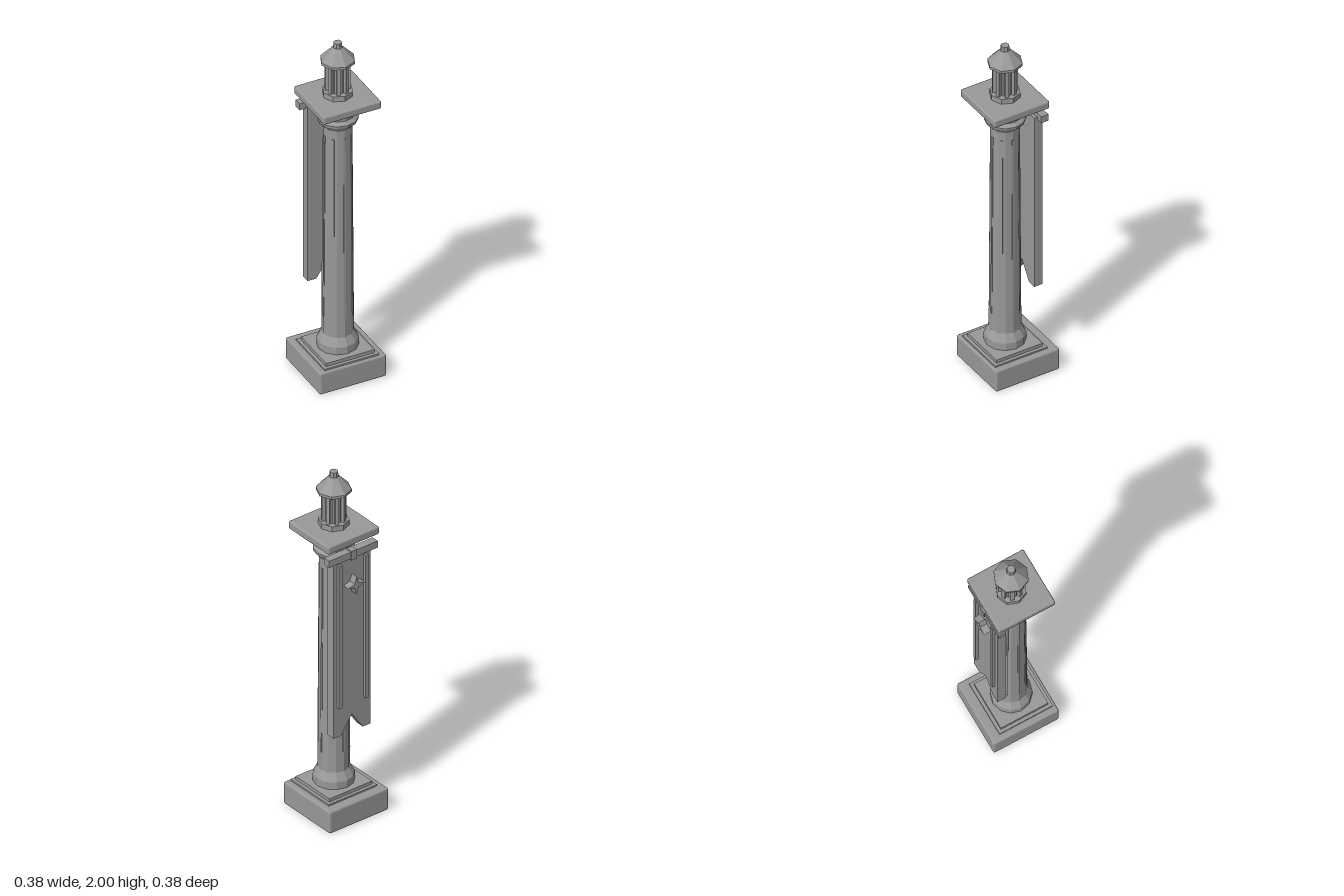
import * as THREE from 'three';
import { RoundedBoxGeometry } from 'three/addons/geometries/RoundedBoxGeometry.js';

const stone = new THREE.MeshStandardMaterial({ color: 0x999999, flatShading: true });
stone.name = 'grey stone';

export function createModel() {
  const group = new THREE.Group();
  const axisZ = 0.018; // the column stands slightly forward of the centre

  const add = (name, geometry, x = 0, y = 0, z = 0) => {
    const mesh = new THREE.Mesh(geometry, stone);
    mesh.name = name;
    mesh.position.set(x, y, z);
    group.add(mesh);
    return mesh;
  };
  // Box given by its limits in y and z, centred on x
  const box = (name, w, y0, y1, z0, z1, x = 0) =>
    add(name, new THREE.BoxGeometry(w, y1 - y0, z1 - z0), x, (y0 + y1) / 2, (z0 + z1) / 2);
  const lathe = (name, points, sides) =>
    add(name, new THREE.LatheGeometry(points.map(([r, y]) => new THREE.Vector2(r, y)), sides), 0, 0, axisZ);

  // Plinth and steps
  add('plinth', new RoundedBoxGeometry(0.38, 0.13, 0.38, 2, 0.01), 0, 0.065, 0);
  box('lowerStep', 0.312, 0.125, 0.139, axisZ - 0.156, axisZ + 0.156);
  box('upperStep', 0.276, 0.139, 0.158, axisZ - 0.138, axisZ + 0.138);

  // Column with flared foot and moulded capital
  lathe('column', [
    [0, 0.155], [0.108, 0.155], [0.108, 0.2], [0.083, 0.245], [0.081, 0.6], [0.075, 1.5],
    [0.08, 1.51], [0.105, 1.535], [0.108, 1.552], [0.088, 1.568], [0.09, 1.585],
    [0.118, 1.61], [0.118, 1.64], [0, 1.64],
  ], 12);

  // Thin raised ribs following the taper of the shaft
  for (let i = 0; i < 8; i++) {
    const a = (i * Math.PI) / 4;
    const rib = add('shaftRib', new THREE.BoxGeometry(0.012, 1.1, 0.008),
      Math.sin(a) * 0.076, 0.9, axisZ + Math.cos(a) * 0.076);
    rib.rotation.set(-0.006, a, 0, 'YXZ');
  }

  // Square cap slab
  add('capSlab', new RoundedBoxGeometry(0.33, 0.046, 0.33, 2, 0.009), 0, 1.662, axisZ);

  // Lantern: foot ring, core, posts, roof and finial
  lathe('lanternFoot', [[0, 1.68], [0.08, 1.68], [0.08, 1.715], [0, 1.715]], 8);
  lathe('lanternCore', [[0.05, 1.71], [0.05, 1.89]], 8);
  for (let i = 0; i < 8; i++) {
    const a = ((i + 0.5) * Math.PI) / 4;
    const post = add('lanternPost', new THREE.BoxGeometry(0.02, 0.175, 0.02),
      Math.sin(a) * 0.055, 1.8, axisZ + Math.cos(a) * 0.055);
    post.rotation.y = a;
  }
  lathe('lanternRoof', [[0, 1.885], [0.092, 1.885], [0.092, 1.9], [0.025, 1.972], [0, 1.972]], 8);
  lathe('finial', [[0, 1.97], [0.024, 1.97], [0.022, 2], [0, 2]], 8);

  // Hanging bar with its bracket and clasp
  box('bannerBar', 0.314, 1.56, 1.6, -0.143, -0.1);
  box('barBracket', 0.03, 1.57, 1.6, -0.11, -0.05);
  box('barClasp', 0.035, 1.553, 1.607, -0.149, -0.094);
  box('upperBracket', 0.025, 1.6, 1.632, -0.11, -0.075);

  // Swallow-tailed banner
  const cloth = new THREE.Shape([
    [-0.12, 1.575], [-0.12, 0.515], [-0.07, 0.515], [0, 0.62], [0.07, 0.515], [0.12, 0.515], [0.12, 1.575],
  ].map(([x, y]) => new THREE.Vector2(x, y)));
  add('banner', new THREE.ExtrudeGeometry(cloth, { depth: 0.048, bevelEnabled: false }), 0, 0, -0.13);
  for (const s of [-1, 1]) box('bannerTrim', 0.02, 0.69, 1.545, -0.146, -0.125, s * 0.085);

  // Four-pointed star on the back of the banner
  const star = new THREE.Shape();
  for (let i = 0; i < 8; i++) {
    const r = i % 2 ? 0.018 : 0.054;
    const a = (i * Math.PI) / 4;
    star[i ? 'lineTo' : 'moveTo'](Math.cos(a) * r, Math.sin(a) * r);
  }
  add('bannerStar', new THREE.ExtrudeGeometry(star, { depth: 0.045, bevelEnabled: false }), 0, 1.407, -0.17);

  return group;
}
